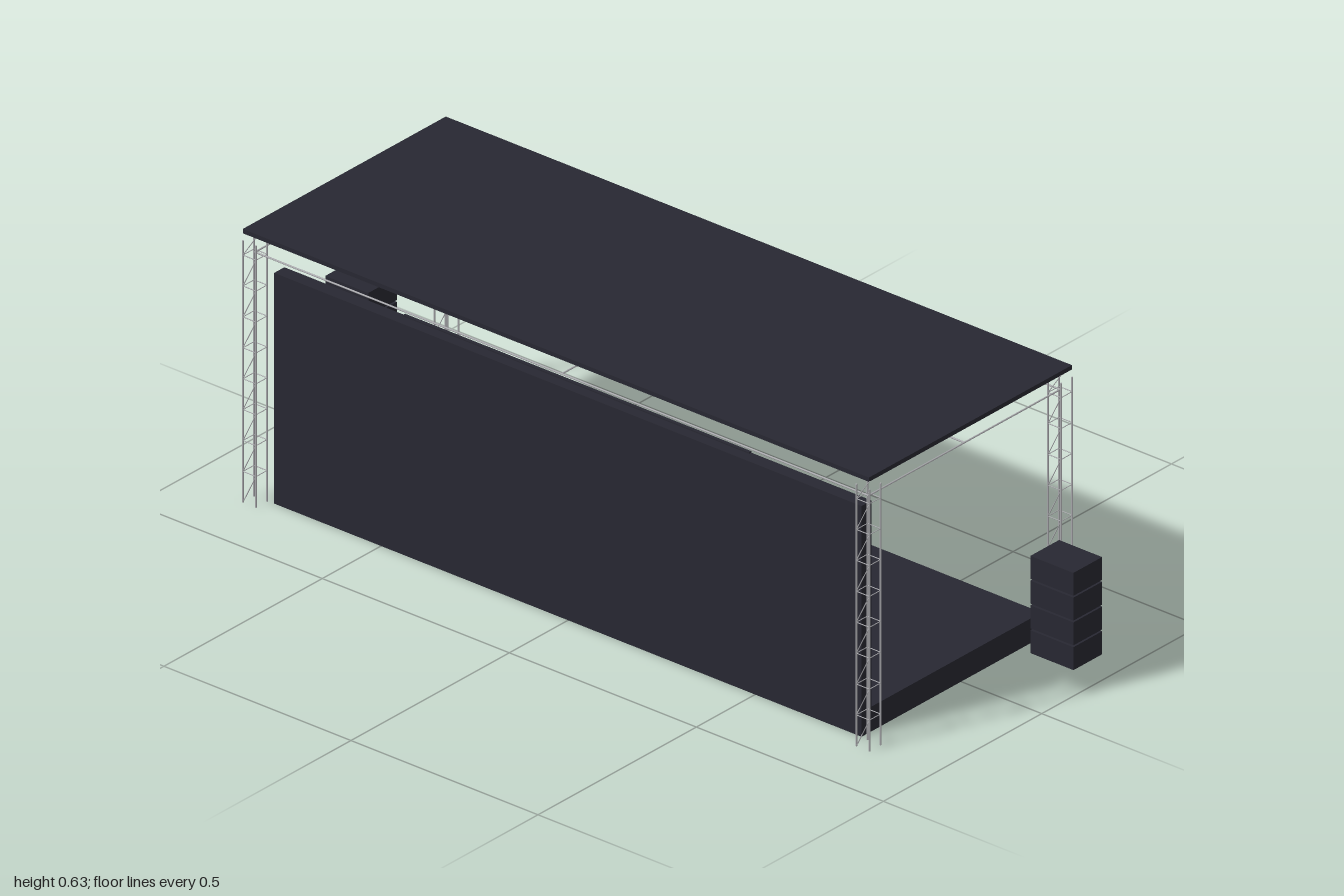
import * as THREE from 'three';

const mat = (name, color) => Object.assign(new THREE.MeshStandardMaterial({ color }), { name });

export function createModel() {
  const dark = mat('charcoal', 0x282832);
  const metal = mat('truss metal', 0xb0b0b4);
  const grey = mat('speaker cone grey', 0x85858a);
  const light = mat('screen grey', 0xe8e8e8);

  const model = new THREE.Group();
  model.name = 'concertStage';

  const group = (name, parent = model) => {
    const g = new THREE.Group();
    g.name = name;
    parent.add(g);
    return g;
  };
  // Box given by its limits on each axis
  const box = (name, material, [x0, x1], [y0, y1], [z0, z1], parent = model) => {
    const m = new THREE.Mesh(new THREE.BoxGeometry(x1 - x0, y1 - y0, z1 - z0), material);
    m.position.set((x0 + x1) / 2, (y0 + y1) / 2, (z0 + z1) / 2);
    m.name = name;
    parent.add(m);
    return m;
  };
  // Round bar between two points
  const up = new THREE.Vector3(0, 1, 0);
  const bar = (name, from, to, radius, parent) => {
    const a = new THREE.Vector3(...from), b = new THREE.Vector3(...to);
    const dir = b.clone().sub(a);
    const m = new THREE.Mesh(new THREE.CylinderGeometry(radius, radius, dir.length(), 6), metal);
    m.position.copy(a).add(b).multiplyScalar(0.5);
    m.quaternion.setFromUnitVectors(up, dir.normalize());
    m.name = name;
    parent.add(m);
  };

  // Deck, rear wall, roof and audience-side steps
  box('deck', dark, [-0.785, 0.785], [0, 0.057], [-0.253, 0.315]);
  box('rearWall', dark, [-0.785, 0.785], [0.057, 0.533], [0.283, 0.315]);
  box('roof', dark, [-0.837, 0.837], [0.622, 0.632], [-0.288, 0.353]);
  box('stepPlatform', dark, [-0.213, 0.213], [0.03, 0.043], [-0.338, -0.253]);
  box('stepFront', dark, [-0.106, 0.106], [0.007, 0.06], [-0.354, -0.337]);

  // Video screen on the inner face of the wall
  box('screenFrame', dark, [-0.463, 0.463], [0.076, 0.536], [0.2822, 0.29]);
  box('screenPanel', light, [-0.461, 0.461], [0.078, 0.535], [0.2814, 0.2824]);

  // Four lattice towers
  const half = 0.0175, pitch = 0.0714;
  for (const cx of [-0.82, 0.82]) {
    for (const cz of [-0.2705, 0.3345]) {
      const tower = group('tower');
      tower.position.set(cx, 0, cz);
      for (const x of [-half, half])
        for (const z of [-half, half]) bar('towerLeg', [x, 0, z], [x, 0.605, z], 0.002, tower);
      for (let i = 0; i < 9; i++) {
        const y = (i + 1) * pitch;
        if (i < 8) {
          for (const s of [-half, half]) {
            bar('towerRung', [-half, y, s], [half, y, s], 0.001, tower);
            bar('towerRung', [s, y, -half], [s, y, half], 0.001, tower);
          }
        }
        bar('towerBrace', [-half, i * pitch, half], [half, Math.min(y, 0.623), half], 0.001, tower);
      }
    }
  }

  // Two levels of roof bars running both ways
  const roofFrame = group('roofFrame');
  for (const y of [0.577, 0.619]) {
    for (const z of [-0.2705, 0.032, 0.3345])
      bar('crossBar', [-0.82, y, z], [0.82, y, z], 0.002, roofFrame);
    for (const x of [-0.82, 0, 0.82])
      bar('sideBar', [x, y, -0.2705], [x, y, 0.3345], 0.002, roofFrame);
  }

  // Row of tilted stage lights
  const lights = group('stageLights');
  for (let i = 0; i < 12; i++) {
    const x = -0.713 + i * 0.1297;
    const lamp = box('stageLight', dark, [x - 0.009, x + 0.009], [0.558, 0.574], [-0.2445, -0.2245], lights);
    lamp.rotation.x = 0.42;
  }

  // Speaker stacks with two cones on each cabinet
  const profile = [[0.02, 0], [0.02, 0.003], [0.018, 0.003], [0.009, 0.0006], [0.006, 0.002], [0, 0.0026]];
  const cone = new THREE.LatheGeometry(profile.map(p => new THREE.Vector2(...p)), 20);
  cone.rotateX(-Math.PI / 2);
  grey.side = THREE.DoubleSide;
  for (const side of [-1, 1]) {
    const stack = group(side > 0 ? 'leftSpeakerStack' : 'rightSpeakerStack');
    const cx = side * 0.9425;
    for (let i = 0; i < 4; i++) {
      const y = 0.0595 + i * 0.0572;
      box('speakerCabinet', dark, [cx - 0.0575, cx + 0.0575], [y, y + 0.053], [-0.1905, -0.1], stack);
      for (const dx of [-0.027, 0.027]) {
        const c = new THREE.Mesh(cone, grey);
        c.position.set(cx + dx, y + 0.0265, -0.1905);
        c.name = 'speakerCone';
        stack.add(c);
      }
    }
  }
  return model;
}
